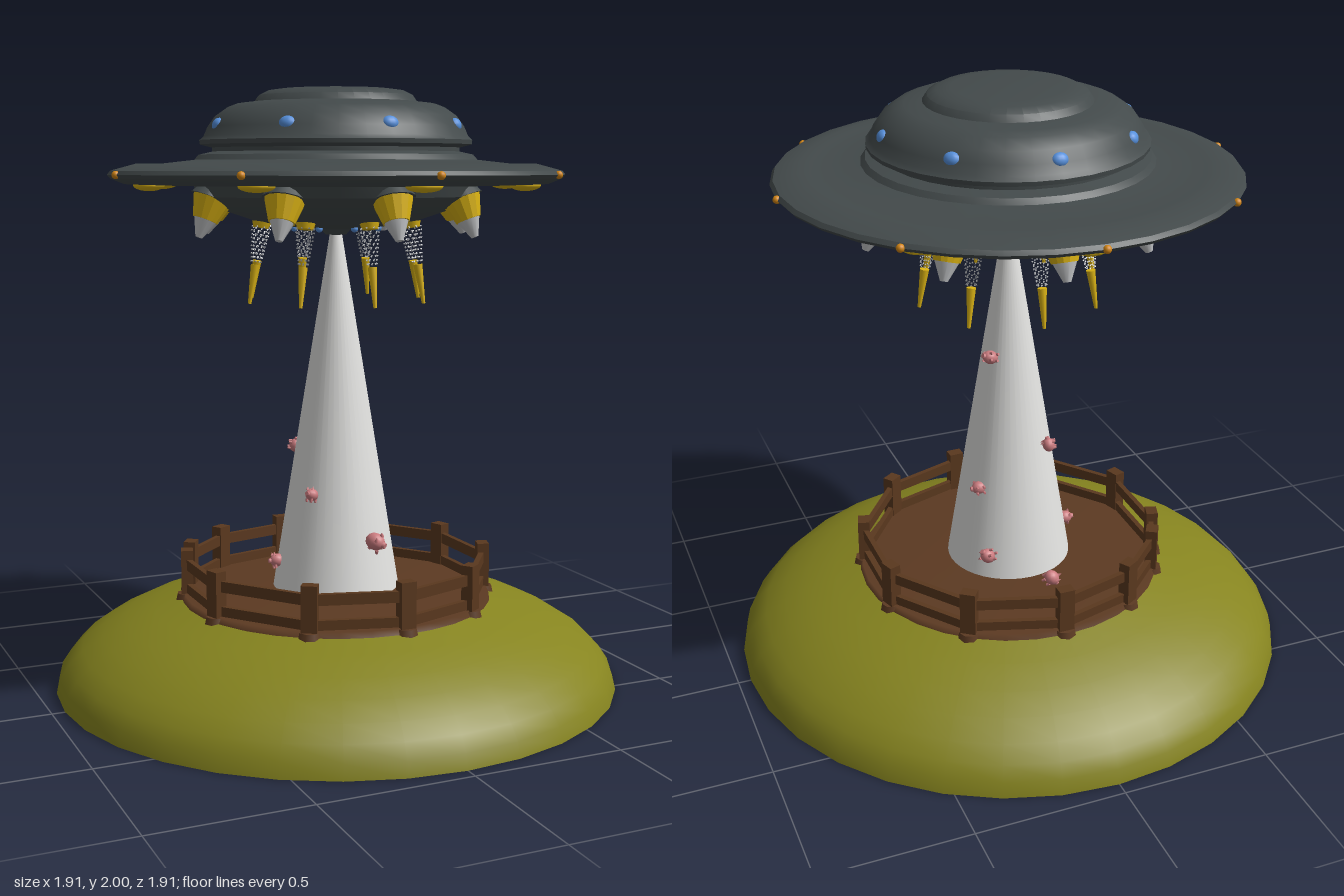
import * as THREE from 'three';
import { toCreasedNormals, mergeGeometries } from 'three/addons/utils/BufferGeometryUtils.js';

const material = (name, color, extra = {}) => {
  const m = new THREE.MeshStandardMaterial({ color, ...extra });
  m.name = name;
  return m;
};

export function createModel() {
  const root = new THREE.Group();
  root.name = 'saucerOverFarm';
  const grass = material('grass', 0x86841f, { side: THREE.DoubleSide });
  const dirt = material('dirt', 0x5c3a22, { side: THREE.DoubleSide });
  const wood = material('wood', 0x5a381e);
  const hullGrey = material('hullGrey', 0x434a4b);
  const beamWhite = material('beamWhite', 0xe2e2e0, { side: THREE.DoubleSide });
  const yellow = material('yellow', 0xdcb414);
  const blue = material('windowBlue', 0x5690dc);
  const orange = material('lampOrange', 0xd08414);
  const pink = material('pigPink', 0xcc7c80);
  const silver = material('silver', 0xc4c6c8);

  const add = (name, geo, mat, parent = root, x = 0, y = 0, z = 0) => {
    const m = new THREE.Mesh(geo, mat);
    m.name = name;
    m.position.set(x, y, z);
    parent.add(m);
    return m;
  };
  const lathe = (pts, seg = 32) => new THREE.LatheGeometry(pts.map(p => new THREE.Vector2(...p)), seg);
  // Repeat a part around the vertical axis; the builder works on the +z side
  const ring = (name, n, build) => {
    for (let i = 0; i < n; i++) {
      const g = new THREE.Group();
      g.name = name;
      g.rotation.y = (i / n) * Math.PI * 2;
      build(g);
      root.add(g);
    }
  };

  // Open shell of the hill and the earth floor of the pen
  add('hill', lathe([[0.957, 0], [0.945, 0.05], [0.915, 0.095], [0.87, 0.14], [0.8, 0.185],
    [0.72, 0.225], [0.62, 0.262], [0.5, 0.297]]), grass);
  add('penFloor', lathe([[0.53, 0.285], [0.52, 0.308], [0, 0.312]]), dirt);

  // Fence: uneven posts joined by two rails
  const R = 0.51;
  const angles = [2, 36, 72, 108, 144, 180, 211, 238, 252, 287, 327].map(a => a * Math.PI / 180);
  angles.forEach((a, i) => {
    const post = add('fencePost', new THREE.BoxGeometry(0.052, 0.172, 0.04), wood, root,
      R * Math.sin(a), 0.37, R * Math.cos(a));
    post.rotation.y = a;
    add('postFoot', new THREE.CylinderGeometry(0.035, 0.042, 0.03, 8), dirt, root,
      R * Math.sin(a), 0.29, R * Math.cos(a));
    const b = i + 1 < angles.length ? angles[i + 1] : angles[0] + Math.PI * 2;
    const mid = (a + b) / 2, half = (b - a) / 2;
    for (const [y, h] of [[0.407, 0.036], [0.325, 0.032]]) {
      const rail = add('fenceRail', new THREE.BoxGeometry(2 * R * Math.sin(half) + 0.02, h, 0.018), wood, root,
        R * Math.cos(half) * Math.sin(mid), y, R * Math.cos(half) * Math.cos(mid));
      rail.rotation.y = mid;
    }
  });

  // Light beam
  add('beam', lathe([[0.215, 0.325], [0.018, 1.54]], 40), beamWhite);

  // Saucer: underside, wide rim, groove, window band and cap
  const saucer = lathe([
    [0, 1.522], [0.035, 1.522], [0.05, 1.54], [0.11, 1.542], [0.26, 1.565], [0.4, 1.612], [0.46, 1.65],
    [0.475, 1.69], [0.58, 1.686], [0.7, 1.69], [0.745, 1.708], [0.755, 1.72], [0.745, 1.733],
    [0.66, 1.756], [0.63, 1.75], [0.47, 1.768], [0.455, 1.785], [0.41, 1.795], [0.41, 1.808],
    [0.45, 1.818], [0.452, 1.832], [0.438, 1.845], [0.425, 1.875], [0.4, 1.91], [0.36, 1.938],
    [0.328, 1.95], [0.27, 1.957], [0.255, 1.978], [0.225, 1.993], [0.18, 1.999], [0, 2]]);
  add('saucer', toCreasedNormals(saucer, 0.5), hullGrey);

  // Windows, rim lamps and belly lamps
  const ball = new THREE.SphereGeometry(1, 14, 10);
  ring('portSet', 8, g => {
    const win = add('window', ball, blue, g, 0, 1.88, 0.413);
    win.scale.set(0.027, 0.022, 0.017);
    win.rotation.x = -0.5;
    add('rimLamp', ball, orange, g, 0, 1.72, 0.753).scale.setScalar(0.013);
    add('padLamp', ball, yellow, g, 0, 1.688, 0.645).scale.set(0.058, 0.019, 0.05);
    add('bellyLamp', ball, blue, g, 0, 1.546, 0.15).scale.setScalar(0.012);
  });

  // Spotlights under the hull, leaning outward
  const shade = toCreasedNormals(new THREE.CylinderGeometry(0.066, 0.042, 0.075, 14), 0.3);
  ring('spotlightArm', 8, g => {
    const s = new THREE.Group();
    s.name = 'spotlight';
    s.position.set(0, 1.645, 0.432);
    s.rotation.x = -0.38;
    g.add(s);
    add('spotCollar', new THREE.CylinderGeometry(0.06, 0.074, 0.025, 14), hullGrey, s, 0, 0.01);
    add('spotShade', shade, yellow, s, 0, -0.037);
    add('spotTip', new THREE.CylinderGeometry(0.038, 0.012, 0.06, 12), silver, s, 0, -0.104);
  });

  // Spark jets: a yellow spike below a tapering spray of small flecks
  const flecks = [];
  for (let row = 0; row < 10; row++) {
    const r = 0.03 - row * 0.0016;
    for (let k = 0; k < 8; k++) {
      const a = (k + (row % 2) / 2) * Math.PI / 4;
      flecks.push(new THREE.TetrahedronGeometry(0.0045).translate(r * Math.cos(a), -row * 0.0125, r * Math.sin(a)));
    }
  }
  const spray = mergeGeometries(flecks);
  ring('sparkArm', 8, g => {
    const s = new THREE.Group();
    s.name = 'sparkJet';
    s.position.set(0, 1.55, 0.268);
    s.rotation.x = -0.165;
    g.add(s);
    add('jetNozzle', new THREE.CylinderGeometry(0.032, 0.026, 0.02, 10), yellow, s, 0, 0.008);
    add('sparkSpray', spray, silver, s);
    add('sparkSpike', new THREE.CylinderGeometry(0.016, 0.006, 0.13, 8), yellow, s, 0, -0.188);
  });

  // Floating pigs: body, snout, ears and legs
  const pig = (x, y, z, size, turn) => {
    const g = new THREE.Group();
    g.name = 'pig';
    g.position.set(x, y, z);
    g.rotation.set(turn * 0.6, turn, turn * 0.4);
    g.scale.setScalar(size);
    add('pigBody', ball, pink, g).scale.set(0.85, 0.85, 1);
    add('pigSnout', new THREE.CylinderGeometry(0.3, 0.34, 0.3, 10).rotateX(Math.PI / 2), pink, g, 0, 0, 1.02);
    for (const s of [-1, 1]) {
      add('pigEar', new THREE.ConeGeometry(0.25, 0.5, 5), pink, g, 0.45 * s, 0.85, 0.45);
      for (const f of [-1, 1]) {
        add('pigLeg', new THREE.CylinderGeometry(0.2, 0.16, 0.45, 7), pink, g, 0.4 * s, -0.82, 0.45 * f);
      }
    }
    root.add(g);
  };
  pig(0.055, 0.51, 0.2, 0.034, 0.6);
  pig(0.088, 1.11, -0.062, 0.027, 2);
  pig(-0.14, 0.67, 0.12, 0.024, -1);
  pig(0.14, 0.64, -0.085, 0.026, 1.5);
  pig(-0.09, 0.79, -0.145, 0.024, 3);
  pig(0.15, 0.43, -0.19, 0.028, 2.4);
  pig(-0.05, 0.35, -0.28, 0.028, -2.5);
  pig(-0.205, 0.42, -0.03, 0.026, -1.6);
  return root;
}
